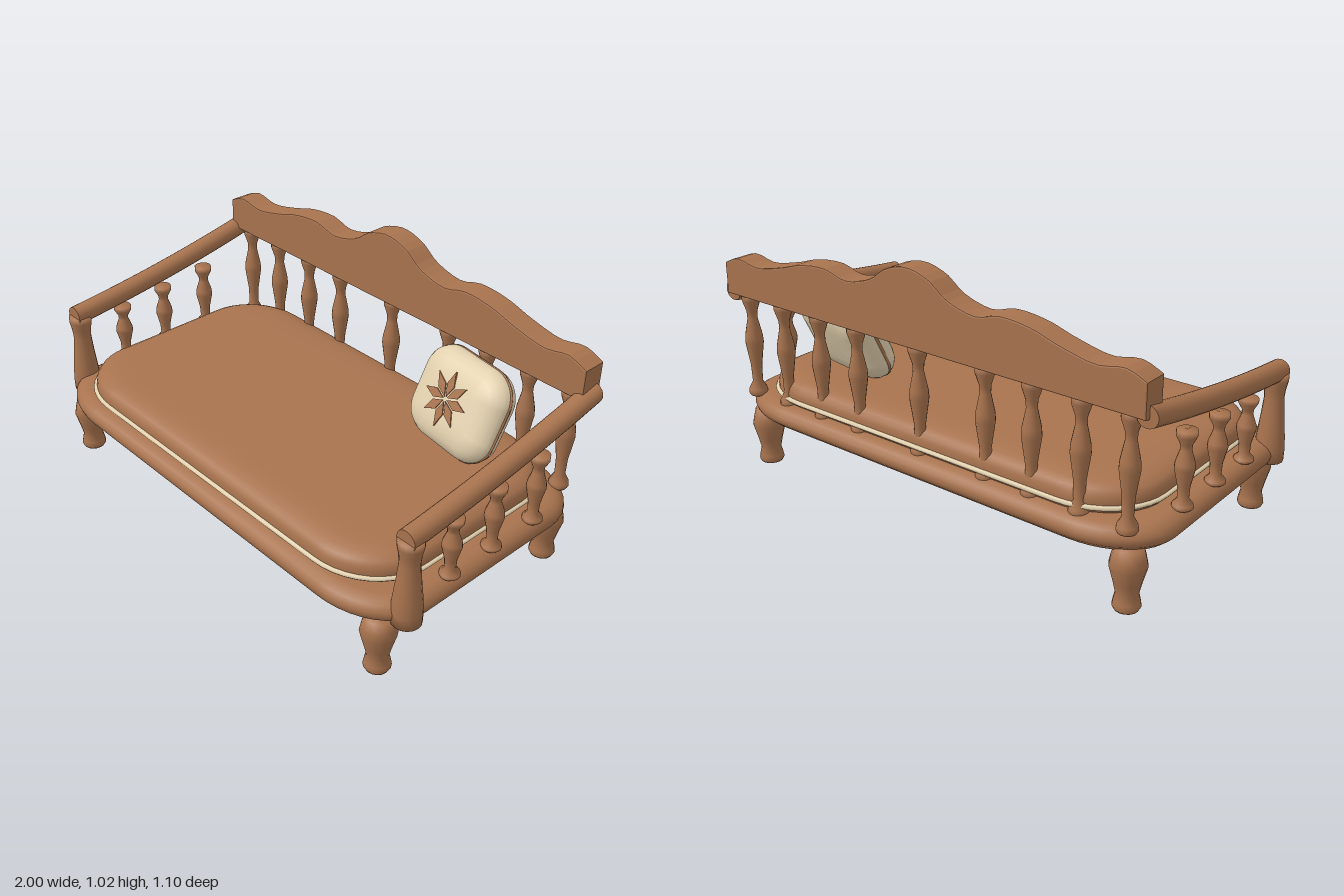
import * as THREE from 'three';

const wood = new THREE.MeshStandardMaterial({ color: 0xa8734e });
wood.name = 'brown wood and fabric';
const cream = new THREE.MeshStandardMaterial({ color: 0xe2d0ae });
cream.name = 'cream fabric';

function add(parent, name, geometry, material, x = 0, y = 0, z = 0) {
  const mesh = new THREE.Mesh(geometry, material);
  mesh.name = name;
  mesh.position.set(x, y, z);
  parent.add(mesh);
  return mesh;
}

// Rounded-rectangle outlines stacked at [height, inset] levels, closed at both ends
function slab(hx, hz, rx, rz, levels, steps = 10) {
  const pos = [], index = [], n = 4 * (steps + 1);
  for (const [y, inset] of levels) {
    const ax = Math.max(rx - inset, 0.02), az = Math.max(rz - inset, 0.02);
    for (let q = 0; q < 4; q++) {
      const sx = q === 0 || q === 3 ? 1 : -1, sz = q < 2 ? 1 : -1;
      for (let s = 0; s <= steps; s++) {
        const a = (q + s / steps) * Math.PI / 2;
        pos.push(sx * (hx - inset - ax) + ax * Math.cos(a), y, sz * (hz - inset - az) + az * Math.sin(a));
      }
    }
  }
  const last = levels.length - 1;
  pos.push(0, levels[0][0], 0, 0, levels[last][0], 0);
  const bottom = n * levels.length, top = bottom + 1;
  for (let j = 0; j < n; j++) {
    const k = (j + 1) % n;
    for (let i = 0; i < last; i++) {
      const a = i * n + j, b = i * n + k, c = a + n, d = b + n;
      index.push(a, c, b, b, c, d);
    }
    index.push(bottom, j, k, top, last * n + k, last * n + j);
  }
  const g = new THREE.BufferGeometry();
  g.setAttribute('position', new THREE.Float32BufferAttribute(pos, 3));
  g.setIndex(index);
  g.computeVertexNormals();
  return g;
}

// Turned part from [radius, height] pairs, with closed ends
function turned(profile, height = 1) {
  const pts = [[0, profile[0][1]], ...profile, [0, profile[profile.length - 1][1]]];
  return new THREE.LatheGeometry(pts.map(([r, y]) => new THREE.Vector2(r, y * height)), 16);
}

const legProfile = [[0.044, 0], [0.05, 0.012], [0.047, 0.03], [0.04, 0.06], [0.05, 0.105],
  [0.066, 0.165], [0.06, 0.195], [0.05, 0.235]];
const postProfile = [[0.054, 0], [0.055, 0.05], [0.051, 0.1], [0.042, 0.18], [0.036, 0.25],
  [0.039, 0.285], [0.046, 0.32], [0.046, 0.345]];
// Baluster heights run from 0 to 1
const balusterProfile = [[0.033, 0], [0.038, 0.02], [0.036, 0.06], [0.02, 0.13], [0.022, 0.29],
  [0.036, 0.52], [0.034, 0.59], [0.02, 0.75], [0.021, 0.82], [0.036, 0.93], [0.036, 1]];

export function createModel() {
  const model = new THREE.Group();
  model.name = 'daybed';

  // Seat base
  add(model, 'base', slab(0.975, 0.548, 0.3, 0.22, [[0.21, 0.12], [0.21, 0.085], [0.225, 0.035],
    [0.25, 0.006], [0.268, 0], [0.285, 0.002], [0.303, 0.015], [0.315, 0.035], [0.32, 0.06], [0.32, 0.1]]), wood);

  // Mattress with piping
  add(model, 'mattress', slab(0.89, 0.505, 0.28, 0.25, [[0.312, 0.04], [0.322, 0.015], [0.335, 0.008],
    [0.36, 0.008], [0.382, 0.012], [0.4, 0.025], [0.414, 0.052], [0.422, 0.09], [0.425, 0.14], [0.425, 0.2]]), wood);
  add(model, 'mattressPiping', slab(0.89, 0.507, 0.28, 0.25, [[0.333, 0.02], [0.336, 0.001],
    [0.343, -0.004], [0.35, 0.001], [0.353, 0.02]]), cream);

  // Legs, arm posts, arm rails and arm balusters on both sides
  const leg = turned(legProfile), post = turned(postProfile);
  const rail = new THREE.CylinderGeometry(0.04, 0.04, 0.92, 20, 12);
  rail.rotateX(Math.PI / 2);
  const p = rail.attributes.position;
  for (let i = 0; i < p.count; i++) {
    const t = (0.46 - p.getZ(i)) / 0.92;
    p.setY(i, p.getY(i) + 0.586 + 0.09 * t + 0.06 * t * t);
  }
  rail.computeVertexNormals();
  for (const side of [-1, 1]) {
    add(model, 'frontLeg', leg, wood, side * 0.866, 0, 0.44);
    add(model, 'backLeg', leg, wood, side * 0.866, 0, -0.44);
    add(model, 'armPost', post, wood, side * 0.943, 0.237, 0.394);
    add(model, 'armRail', rail, wood, side * 0.943, 0, -0.04);
    for (const [z, h] of [[0.19, 0.245], [-0.02, 0.265], [-0.24, 0.285]])
      add(model, 'armBaluster', turned(balusterProfile, h), wood, side * 0.94, 0.31, z);
  }

  // Back balusters
  const backBaluster = turned(balusterProfile, 0.43);
  for (const x of [-0.875, -0.69, -0.495, -0.3, 0, 0.3, 0.495, 0.69, 0.875])
    add(model, 'backBaluster', backBaluster, wood, x, 0.305, -0.473);

  // Wavy back board
  const half = [[0.945, 0.85], [0.87, 0.877], [0.765, 0.861], [0.63, 0.888], [0.52, 0.92],
    [0.4, 0.931], [0.295, 0.907], [0.176, 0.936], [0.096, 0.99]];
  const crest = [...half, [0, 1.014], ...half.map(([x, y]) => [-x, y]).reverse()];
  const board = new THREE.Shape();
  board.moveTo(-0.945, 0.735);
  board.lineTo(0.945, 0.735);
  board.lineTo(...crest[0]);
  board.splineThru(crest.slice(1).map(([x, y]) => new THREE.Vector2(x, y)));
  board.closePath();
  add(model, 'backBoard', new THREE.ExtrudeGeometry(board, { depth: 0.084, curveSegments: 3,
    bevelThickness: 0.006, bevelSize: 0.006, bevelSegments: 2 }), wood, 0, 0, -0.515);

  // Leaning pillow
  const pillow = new THREE.Group();
  pillow.name = 'pillow';
  pillow.position.set(0.545, 0.588, -0.283);
  pillow.rotation.set(-0.43, -0.15, 0, 'YXZ');
  model.add(pillow);
  const front = [[0.01, 0], [0.03, 0.006], [0.05, 0.022], [0.065, 0.045], [0.074, 0.075], [0.078, 0.11]];
  const body = [...front.map(([y, i]) => [-y, i]).reverse(), ...front];
  add(pillow, 'pillowBody', slab(0.21, 0.18, 0.12, 0.11, body).rotateX(Math.PI / 2), cream);
  add(pillow, 'pillowSeam', slab(0.21, 0.18, 0.12, 0.11, [[-0.006, 0.01], [-0.005, -0.003],
    [0.005, -0.003], [0.006, 0.01]]).rotateX(Math.PI / 2), wood);

  // Eight-petal flower on the pillow
  const petal = new THREE.Shape();
  petal.moveTo(0, 0.01);
  petal.lineTo(0.019, 0.055);
  petal.lineTo(0, 0.108);
  petal.lineTo(-0.019, 0.055);
  petal.closePath();
  const petalGeometry = new THREE.ExtrudeGeometry(petal, { depth: 0.008, bevelEnabled: false });
  for (let i = 0; i < 8; i++)
    add(pillow, 'petal', petalGeometry, wood, -0.012, 0.004, 0.074).rotation.z = i * Math.PI / 4;

  return model;
}
